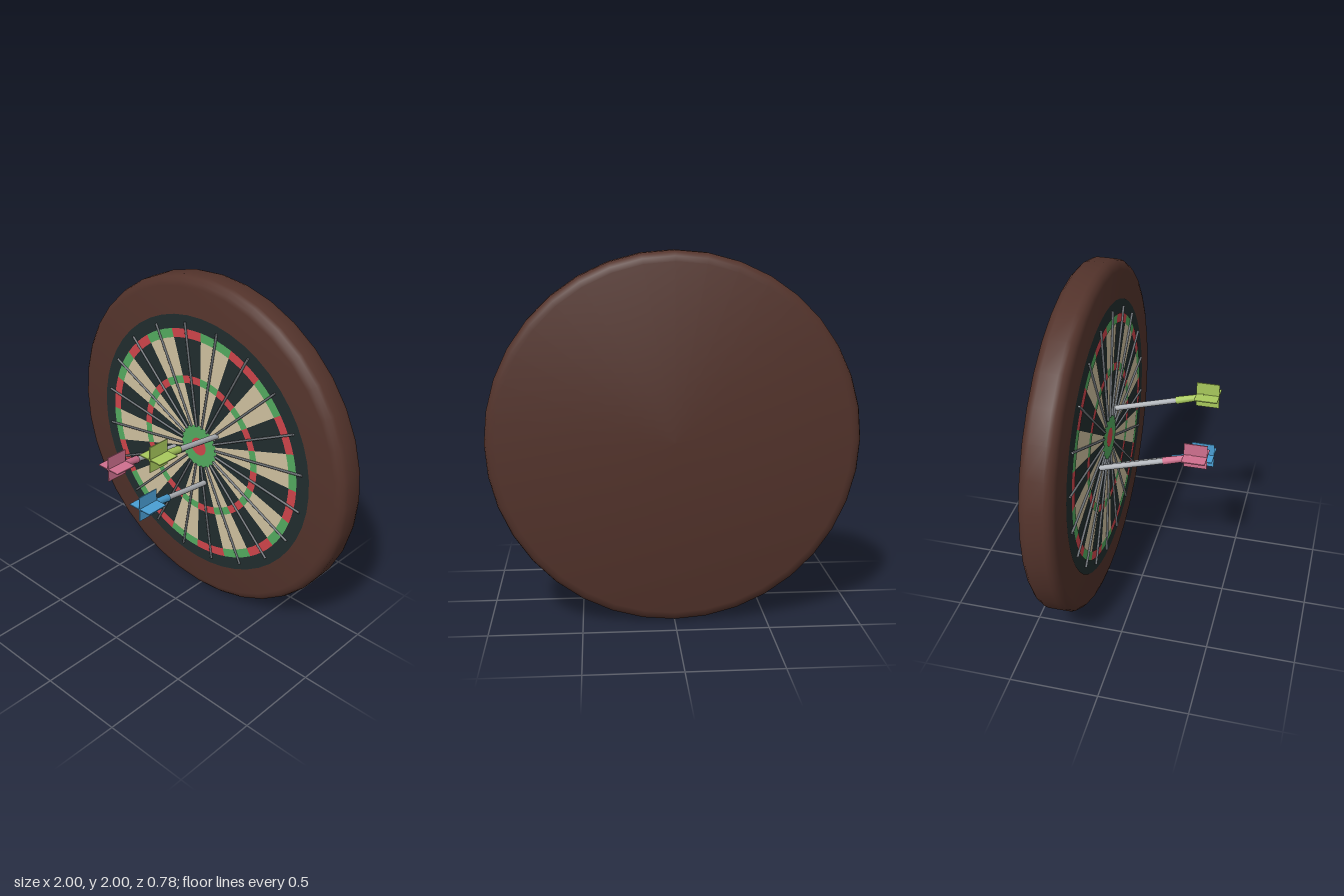
import * as THREE from 'three';
import { mergeGeometries, toCreasedNormals } from 'three/addons/utils/BufferGeometryUtils.js';

const mat = (name, color) => new THREE.MeshStandardMaterial({ name, color });
const FACE = -0.2; // z of the board's front

export function createModel() {
  const model = new THREE.Group();
  model.name = 'dartboard';
  const brown = mat('brown wood', 0x53332b);
  const dark = mat('dark sisal', 0x212d2e);
  const cream = mat('cream sisal', 0xd0c1a0);
  const red = mat('red', 0xd0454b);
  const green = mat('green', 0x53aa5f);
  const wireGrey = mat('wire grey', 0x70757a);
  const steel = mat('steel', 0xb0b4b9);
  const dartColours = [mat('lime', 0xa8c95c), mat('blue', 0x4a9fd4), mat('pink', 0xd0708f)];

  const add = (parent, name, geometry, material) => {
    const mesh = new THREE.Mesh(geometry, material);
    mesh.name = name;
    parent.add(mesh);
    return mesh;
  };

  const board = new THREE.Group();
  board.name = 'board';
  board.position.y = 1;
  model.add(board);

  // Wooden disc with rounded rim
  const profile = [[0, -0.095], [0.945, -0.095], [0.972, -0.087], [0.992, -0.068], [1, -0.045],
    [1, 0.045], [0.992, 0.068], [0.972, 0.087], [0.945, 0.095], [0, 0.095]]
    .map(([r, h]) => new THREE.Vector2(r, h));
  const disc = new THREE.LatheGeometry(profile, 36).rotateX(Math.PI / 2);
  add(board, 'woodenBacking', toCreasedNormals(disc, 0.6), brown).position.z = FACE - 0.095;

  // Playing face, coloured sectors and scoring rings
  add(board, 'playingFace', new THREE.CircleGeometry(0.785, 48), dark).position.z = FACE + 0.002;
  const step = Math.PI / 10;
  const sectors = (inner, outer, parity) => {
    const parts = [];
    for (let i = parity; i < 20; i += 2) parts.push(new THREE.RingGeometry(inner, outer, 4, 1, i * step, step));
    return mergeGeometries(parts);
  };
  add(board, 'creamSectors', sectors(0.12, 0.66, 0), cream).position.z = FACE + 0.004;
  for (const [name, inner, outer] of [['doubleRing', 0.653, 0.705], ['tripleRing', 0.385, 0.43]]) {
    add(board, name + 'Green', sectors(inner, outer, 0), green).position.z = FACE + 0.006;
    add(board, name + 'Red', sectors(inner, outer, 1), red).position.z = FACE + 0.006;
  }
  add(board, 'outerBull', new THREE.CircleGeometry(0.132, 32), green).position.z = FACE + 0.008;
  add(board, 'innerBull', new THREE.CircleGeometry(0.055, 32), red).position.z = FACE + 0.01;

  // Radial wires
  const wires = [];
  for (let i = 0; i < 20; i++) {
    wires.push(new THREE.CylinderGeometry(0.007, 0.007, 0.62, 6)
      .translate(0, 0.435, 0).rotateZ((i + 0.5) * step));
  }
  add(board, 'wires', mergeGeometries(wires), wireGrey).position.z = FACE + 0.009;

  // Darts: leaning barrel and sleeve, with straight crossed flights
  const rod = (a, b, r0, r1) => {
    const dir = b.clone().sub(a);
    const geometry = new THREE.CylinderGeometry(r1, r0, dir.length(), 10);
    geometry.applyQuaternion(new THREE.Quaternion().setFromUnitVectors(
      new THREE.Vector3(0, 1, 0), dir.normalize()));
    const mid = a.clone().add(b).multiplyScalar(0.5);
    return geometry.translate(mid.x, mid.y, mid.z);
  };
  const at = (z) => new THREE.Vector3(0.122 * z, 0.225 * z, z); // point on the dart's axis
  [[0.13, 1.117], [0.045, 0.772], [-0.195, 0.922]].forEach(([x, y], i) => {
    const dart = new THREE.Group();
    dart.name = 'dart' + (i + 1);
    dart.position.set(x, y, -0.19);
    add(dart, 'barrel', rod(at(-0.005), at(0.36), 0.016, 0.016), steel);
    add(dart, 'sleeve', rod(at(0.345), at(0.5), 0.022, 0.018), dartColours[i]);
    const flights = mergeGeometries([
      new THREE.BoxGeometry(0.15, 0.006, 0.13),
      new THREE.BoxGeometry(0.006, 0.15, 0.13),
    ]);
    add(dart, 'flights', flights, dartColours[i]).position.set(0.064, 0.123, 0.52);
    model.add(dart);
  });

  return model;
}
